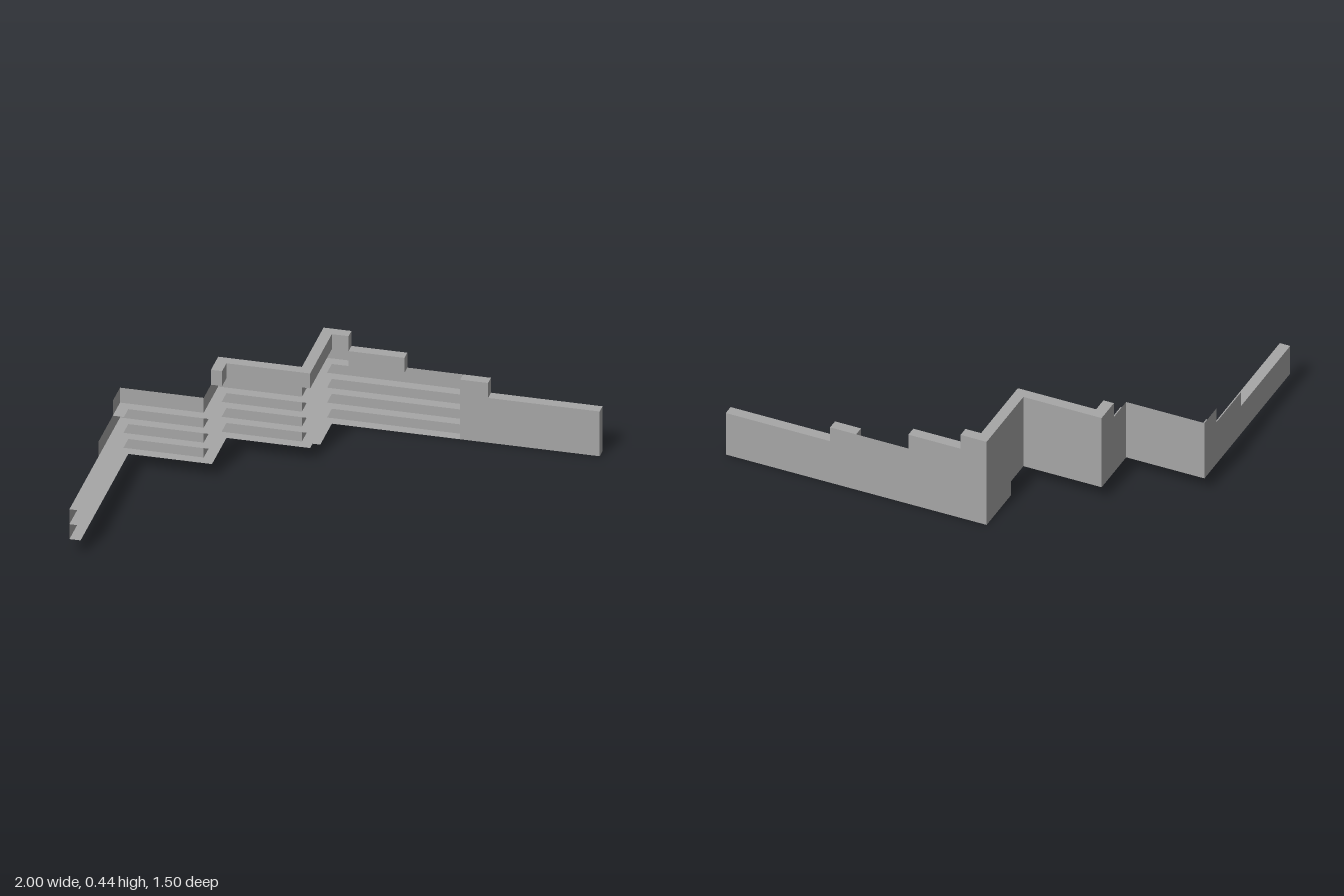
import * as THREE from 'three';

const T = 0.05;      // depth of ledges and beams
const H = 0.0733;    // height of one course

// Corners of the zigzag back line in plan (x, z)
const corners = [[-1, -0.125], [-0.625, -0.125], [-0.625, -0.375], [-0.25, -0.375], [-0.25, -0.75]];

export function createModel() {
  const model = new THREE.Group();
  const grey = new THREE.MeshStandardMaterial({ color: 0xa6a6a6 });
  grey.name = 'grey';
  grey.side = THREE.DoubleSide;

  const add = (name, geometry, x = 0, y = 0, z = 0) => {
    const mesh = new THREE.Mesh(geometry, grey);
    mesh.name = name;
    mesh.position.set(x, y, z);
    model.add(mesh);
  };

  // Back line from a point on the wall before corner `first` to x = endX
  const backLine = (first, startZ, endX) =>
    [[corners[first][0], startZ], ...corners.slice(first), [endX, -0.75]];

  // Plan outline: back line plus the same line moved forward by T
  const strip = (line) => {
    const last = line.length - 1;
    const front = line.map(([x, z], i) => [i === last ? x : x + T, i === 0 ? z : z + T]);
    return new THREE.Shape([...line, ...front.reverse()].map(([x, z]) => new THREE.Vector2(x, z)));
  };

  // Thin upright back panels of one course
  const wall = (course, line) => {
    for (let i = 0; i < line.length - 1; i++) {
      const [ax, az] = line[i], [bx, bz] = line[i + 1];
      const panel = new THREE.PlaneGeometry(Math.hypot(bx - ax, bz - az), H);
      panel.rotateY(-Math.atan2(bz - az, bx - ax));
      add('backPanel', panel, (ax + bx) / 2, (course + 0.5) * H, (az + bz) / 2);
    }
  };

  // Thin horizontal ledge
  const ledge = (level, line) =>
    add('ledge', new THREE.ShapeGeometry(strip(line)).rotateX(Math.PI / 2), 0, level * H, 0);

  // Courses from the ground up: [first corner, start z, end x]
  const courses = [
    [4, -0.5, 0.375],
    [0, 0.75, 0.375],
    [0, 0.75, 0.375],
    [0, 0.25, 0.375],
    [0, 0, -0.125],
  ];
  courses.forEach((c, i) => wall(i, backLine(...c)));

  // Ledges; the one at the third level runs the full length
  ledge(0, backLine(...courses[0]));
  for (const level of [1, 2, 3]) ledge(level, backLine(0, 0.75, 0.375));
  ledge(4, backLine(...courses[4]));

  // Solid top beam
  const beam = new THREE.ExtrudeGeometry(strip(backLine(2, -0.25, -0.125)), { depth: H, bevelEnabled: false });
  add('topBeam', beam.rotateX(Math.PI / 2), 0, 6 * H, 0);

  // Solid block on the rear run
  add('upperBlock', new THREE.BoxGeometry(0.25, H, T), 0, 4.5 * H, -0.75 + T / 2);

  // Solid stepped end of the rear run
  const end = new THREE.Shape([[0.375, 0], [1, 0], [1, 3 * H], [0.5, 3 * H], [0.5, 4 * H], [0.375, 4 * H]]
    .map(([x, y]) => new THREE.Vector2(x, y)));
  add('endBlock', new THREE.ExtrudeGeometry(end, { depth: T, bevelEnabled: false }), 0, 0, -0.75);

  return model;
}
